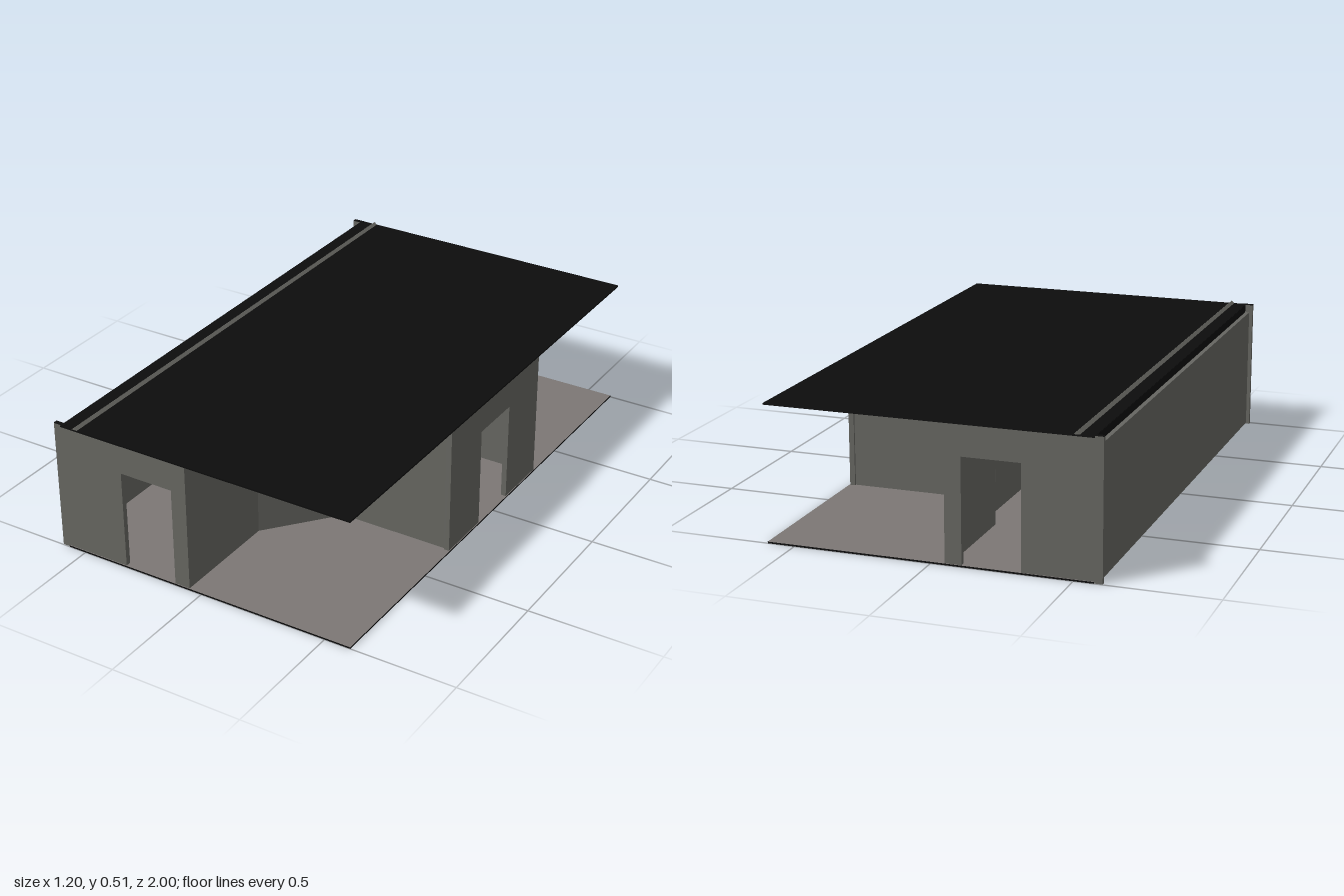
import * as THREE from 'three';

const mat = (name, color) => Object.assign(new THREE.MeshStandardMaterial({ color }), { name });

export function createModel() {
  const group = new THREE.Group();
  const wallGrey = mat('wallGrey', 0x666661);
  const floorGrey = mat('floorGrey', 0x7c7775);
  const black = mat('black', 0x0d0d0d);

  const add = (name, geometry, material) => {
    const mesh = new THREE.Mesh(geometry, material);
    mesh.name = name;
    group.add(mesh);
    return mesh;
  };

  // Box given by its two opposite corners
  const box = (name, [x0, y0, z0], [x1, y1, z1], material) =>
    add(name, new THREE.BoxGeometry(x1 - x0, y1 - y0, z1 - z0), material)
      .position.set((x0 + x1) / 2, (y0 + y1) / 2, (z0 + z1) / 2);

  // Upright wall whose outer face runs from a to b; openings are [start, end, sill, head]
  const wall = (name, a, b, { height = 0.493, thickness = 0.02, openings = [] } = {}) => {
    const dx = b[0] - a[0], dz = b[1] - a[1], length = Math.hypot(dx, dz);
    const shape = new THREE.Shape();
    shape.moveTo(0, 0.004);
    for (const [s, e, sill, head] of openings) {
      if (sill > 0.01) {
        const hole = new THREE.Path();
        hole.moveTo(s, sill).lineTo(s, head).lineTo(e, head).lineTo(e, sill).closePath();
        shape.holes.push(hole);
      } else {
        shape.lineTo(s, 0.004).lineTo(s, head).lineTo(e, head).lineTo(e, 0.004);
      }
    }
    shape.lineTo(length, 0.004).lineTo(length, height).lineTo(0, height).closePath();
    const geometry = new THREE.ExtrudeGeometry(shape, { depth: thickness, bevelEnabled: false });
    geometry.translate(0, 0, -thickness);
    const mesh = add(name, geometry, wallGrey);
    mesh.rotation.y = Math.atan2(-dz, dx);
    mesh.position.set(a[0], 0, a[1]);
  };

  // Floor and roof slabs
  box('floor', [-0.57, 0, -1], [0.6, 0.006, 1], [black, black, floorGrey, black, black, black]);
  box('roof', [-0.57, 0.492, -1], [0.6, 0.498, 1], [black, black, black, wallGrey, black, black]);

  // Outer walls, going round the two open corner porches
  const e = 0.997;
  wall('frontWall', [-0.565, e], [-0.05, e], { openings: [[0.245, 0.455, 0, 0.382]] });
  wall('frontPorchSide', [-0.05, e], [-0.05, 0.57]);
  wall('frontPorchDiagonal', [-0.05, 0.57], [0.155, 0.32]);
  wall('frontPorchBack', [0.155, 0.32], [0.582, 0.32]);
  wall('entranceWall', [0.597, 0.327], [0.597, -0.327], { openings: [[0.22, 0.43, 0, 0.385]] });
  wall('rearPorchBack', [0.582, -0.32], [0.155, -0.32]);
  wall('rearPorchDiagonal', [0.155, -0.32], [-0.05, -0.57]);
  wall('rearPorchSide', [-0.05, -0.57], [-0.05, -e]);
  wall('rearWall', [-0.05, -e], [-0.565, -e], { openings: [[0.06, 0.27, 0, 0.382]] });
  wall('longWall', [-0.587, -0.99], [-0.587, 0.99], { height: 0.468 });

  // End fins beside the long wall, with dark caps
  for (const s of [1, -1]) {
    const z0 = Math.min(s * e, s * 0.982), z1 = Math.max(s * e, s * 0.982);
    box('endFin', [-0.6, 0, z0], [-0.565, 0.498, z1], wallGrey);
    box('finCap', [-0.6, 0.498, z0], [-0.555, 0.5, z1], black);
  }

  // Dark fascia above the long wall
  box('fascia', [-0.571, 0.465, -0.98], [-0.565, 0.497, 0.98], black);

  // Small triangular ridge along the roof
  const ridge = new THREE.Shape();
  ridge.moveTo(-0.521, 0.497).lineTo(-0.497, 0.497).lineTo(-0.509, 0.507).closePath();
  add('roofRidge', new THREE.ExtrudeGeometry(ridge, { depth: 2, bevelEnabled: false }), wallGrey)
    .position.z = -1;

  // Shelf along the inside of the long wall
  box('shelf', [-0.567, 0.16, -0.975], [-0.5, 0.23, 0.975], wallGrey);

  // Inner partition with a window, a narrow doorway and a handle
  wall('partition', [0, 0.49], [0, -0.49],
    { openings: [[0.385, 0.45, 0.17, 0.34], [0.515, 0.59, 0.06, 0.38]] });
  box('handle', [0, 0.245, -0.07], [0.012, 0.258, -0.02], black);

  return group;
}
